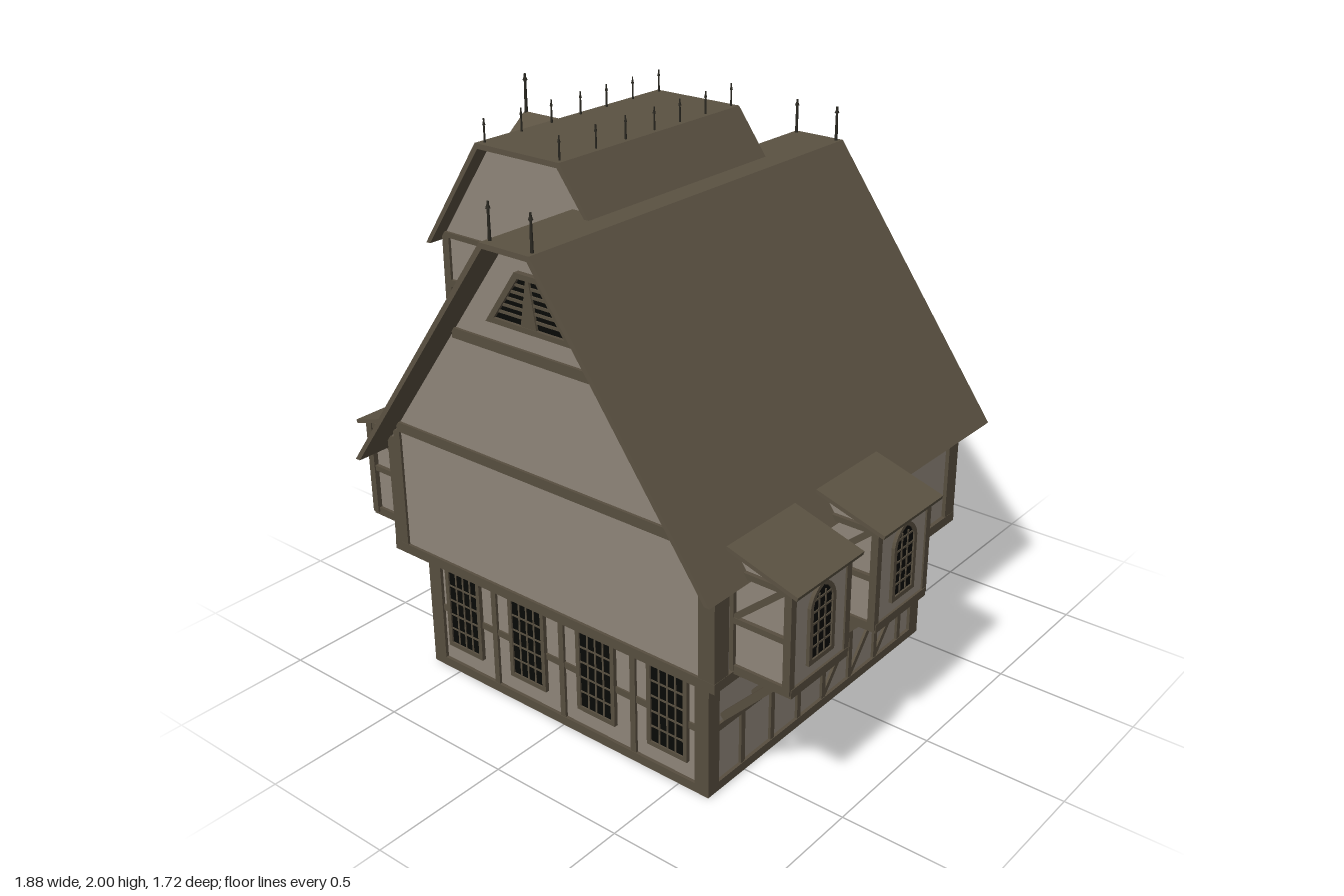
import * as THREE from 'three';

const mat = (name, color, side = THREE.FrontSide) => {
  const m = new THREE.MeshStandardMaterial({ color, side });
  m.name = name;
  return m;
};
const plaster = mat('plaster', 0x8e8579);
const wood = mat('timber', 0x574e3f);
const roofMat = mat('roof shingle', 0x5b5242);
const glass = mat('dark glass', 0x080906);
const iron = mat('iron', 0x2b2922);
const cloth = mat('cloth', 0x8d8478, THREE.DoubleSide);

const add = (parent, name, geo, m, x = 0, y = 0, z = 0) => {
  const mesh = new THREE.Mesh(geo, m);
  mesh.name = name;
  mesh.position.set(x, y, z);
  parent.add(mesh);
  return mesh;
};
// Box given by its minimum and maximum corners
const block = (p, name, m, x0, x1, y0, y1, z0, z1) =>
  add(p, name, new THREE.BoxGeometry(x1 - x0, y1 - y0, z1 - z0), m, (x0 + x1) / 2, (y0 + y1) / 2, (z0 + z1) / 2);
const shapeOf = pts => new THREE.Shape(pts.map(q => new THREE.Vector2(q[0], q[1])));
const extrude = (s, depth) => new THREE.ExtrudeGeometry(s, { depth, bevelEnabled: false, curveSegments: 5 });
const prism = (p, name, m, pts, z0, z1) => add(p, name, extrude(shapeOf(pts), z1 - z0), m, 0, 0, z0);
// Flat timber on a wall, from (x0,y0) to (x1,y1)
const beam = (p, x0, y0, x1, y1, w = 0.022, t = 0.02, z = 0, name = 'timber') => {
  const b = add(p, name, new THREE.BoxGeometry(Math.hypot(x1 - x0, y1 - y0), w, t), wood, (x0 + x1) / 2, (y0 + y1) / 2, z);
  b.rotation.z = Math.atan2(y1 - y0, x1 - x0);
  return b;
};
// Bar leaning out of a wall in the local y-z plane
const strut = (p, name, m, x, y0, z0, y1, z1, w, h) => {
  const b = add(p, name, new THREE.BoxGeometry(w, h, Math.hypot(y1 - y0, z1 - z0)), m, x, (y0 + y1) / 2, (z0 + z1) / 2);
  b.rotation.x = -Math.atan2(y1 - y0, z1 - z0);
  return b;
};
// Wall frame: local x runs right, y up, z outward
const wall = (p, name, x, z, turn) => {
  const g = new THREE.Group();
  g.name = name;
  g.position.set(x, 0, z);
  g.rotation.y = turn * Math.PI / 2;
  p.add(g);
  return g;
};

function arch(w, h, pointed) {
  const s = new THREE.Shape(), r = w / 2;
  s.moveTo(-r, 0);
  s.lineTo(r, 0);
  if (pointed) {
    s.lineTo(r, h - w * 0.55);
    s.quadraticCurveTo(r * 0.85, h - w * 0.17, 0, h);
    s.quadraticCurveTo(-r * 0.85, h - w * 0.17, -r, h - w * 0.55);
  } else {
    s.lineTo(r, h);
    s.lineTo(-r, h);
  }
  s.closePath();
  return s;
}

function windowAt(p, x, y, w, h, pointed, cols = 3, rows = 5, z = 0) {
  const g = new THREE.Group();
  g.name = 'window';
  g.position.set(x, y, z);
  p.add(g);
  const f = 0.016, iw = w - 2 * f, ih = h - 2 * f;
  const frame = arch(w, h, pointed), inner = arch(iw, ih, pointed);
  frame.holes.push(new THREE.Path(inner.getPoints(5).map(q => new THREE.Vector2(q.x, q.y + f)).reverse()));
  add(g, 'windowFrame', extrude(frame, 0.015), wood);
  add(g, 'windowPane', extrude(inner, 0.005), glass, 0, f, 0.004);
  const top = pointed ? h - w * 0.3 : h - f;
  for (let i = 1; i < cols; i++) {
    const bx = -iw / 2 + iw * i / cols;
    beam(g, bx, f, bx, top, 0.006, 0.004, 0.01, 'glazingBar');
  }
  for (let j = 1; j < rows; j++) {
    const by = f + ih * j / rows, half = by > h - w * 0.4 && pointed ? iw * 0.3 : iw / 2;
    beam(g, -half, by, half, by, 0.006, 0.004, 0.01, 'glazingBar');
  }
}

// Jettied bay with timber frame, window and lean-to roof
function oriel(p, x, w, y0, y1, d, inY, rw, rd, rIn) {
  const g = new THREE.Group();
  g.name = 'oriel';
  g.position.x = x;
  p.add(g);
  const h = w / 2, t = 0.025, mid = (y0 + y1) / 2;
  const body = extrude(shapeOf([[-0.05, y0], [d, y0], [d, y1], [0, inY], [-0.05, inY]]), w - 0.012);
  body.rotateY(-Math.PI / 2);
  add(g, 'orielBody', body, plaster, h - 0.006);
  block(g, 'orielFloor', wood, -h - 0.005, h + 0.005, y0 - 0.012, y0 + 0.018, -0.03, d + 0.008);
  strut(g, 'orielRoof', roofMat, 0, inY, rIn, y1 - 0.005, rd, rw, 0.014);
  for (const s of [-1, 1]) {
    block(g, 'orielPost', wood, s * h - t / 2, s * h + t / 2, y0, y1, d - t + 0.005, d + 0.006);
    block(g, 'orielPost', wood, s * h - 0.008, s * h + 0.008, y0, y1, 0, 0.02);
    block(g, 'orielRail', wood, s * h - 0.008, s * h + 0.008, mid - 0.01, mid + 0.01, 0, d);
    block(g, 'orielRail', wood, s * h - 0.008, s * h + 0.008, y1 - 0.02, y1, 0, d);
    strut(g, 'orielBrace', wood, s * (h - 0.002), mid, 0.01, y1 - 0.01, d - 0.02, 0.014, 0.02);
  }
  beam(g, -h, y1 - 0.012, h, y1 - 0.012, 0.024, 0.012, d);
  windowAt(g, 0, y0 + 0.06, w * 0.46, y1 - y0 - 0.085, true, 3, 6, d - 0.003);
  return g;
}

function finial(p, x, y, z, h) {
  const r = h * 0.03;
  add(p, 'finial', new THREE.CylinderGeometry(r, r * 1.5, h, 6), iron, x, y + h / 2, z);
  add(p, 'finialTip', new THREE.ConeGeometry(r * 2.2, 0.022, 6), iron, x, y + h - 0.011, z);
}

// Louvred trapezoid opening in a gable
function gableVent(p) {
  const trap = (b, t, y0, y1) => shapeOf([[-b, y0], [b, y0], [t, y1], [-t, y1]]);
  const outer = trap(0.18, 0.05, 1.445, 1.63), hole = trap(0.145, 0.038, 1.463, 1.612);
  outer.holes.push(hole);
  add(p, 'ventFrame', extrude(outer, 0.02), wood);
  add(p, 'ventDark', extrude(hole.clone(), 0.005), glass, 0, 0, 0.004);
  for (let i = 1; i < 6; i++) {
    const y = 1.463 + i * 0.025, half = 0.145 - (y - 1.463) * 0.72;
    beam(p, -half, y, half, y, 0.009, 0.006, 0.011, 'ventSlat');
  }
  prism(p, 'ventWedge', wood, [[-0.032, 1.463], [0.032, 1.463], [0.006, 1.612], [-0.006, 1.612]], 0.008, 0.018);
}

export function createModel() {
  const house = new THREE.Group();
  house.name = 'timberHouse';

  // Ground floor and jettied upper storey with gables
  block(house, 'groundFloor', plaster, -0.62, 0.62, 0, 0.004, -0.545, 0.69);
  block(house, 'groundStorey', plaster, -0.61, 0.61, 0.004, 0.48, -0.535, 0.68);
  block(house, 'groundSill', wood, -0.622, 0.622, 0.003, 0.035, -0.547, 0.692);
  block(house, 'jettyBeam', wood, -0.7, 0.7, 0.465, 0.5, -0.62, 0.765);
  prism(house, 'upperStorey', plaster, [[-0.685, 0.48], [0.685, 0.48], [0.685, 0.905], [0.094, 1.722], [-0.094, 1.722], [-0.685, 0.905]], -0.61, 0.755);
  for (const s of [-1, 1]) {
    for (const [z0, z1] of [[0.637, 0.692], [-0.547, -0.492]])
      block(house, 'groundPost', wood, s * 0.594 - 0.028, s * 0.594 + 0.028, 0.004, 0.48, z0, z1);
    for (const [z0, z1] of [[0.695, 0.764], [-0.619, -0.56]])
      block(house, 'upperPost', wood, s * 0.668 - 0.031, s * 0.668 + 0.031, 0.48, 0.9, z0, z1);
  }

  // Main roof with flat ridge
  prism(house, 'mainRoof', roofMat, [[-0.755, 0.83], [-0.735, 0.83], [-0.09, 1.717], [0.09, 1.717], [0.735, 0.83], [0.755, 0.83], [0.1, 1.735], [-0.1, 1.735]], -0.72, 0.86);
  for (const x of [-0.085, 0.085]) for (const z of [0.83, -0.7]) finial(house, x, 1.73, z, 0.125);

  // Front and back gables
  for (const [name, z, turn] of [['frontGable', 0.755, 0], ['backGable', -0.61, 2]]) {
    const g = wall(house, name, 0, z, turn);
    beam(g, -0.648, 0.948, 0.648, 0.948, 0.035);
    beam(g, -0.345, 1.362, 0.345, 1.362, 0.035);
    for (const s of [-1, 1]) beam(g, s * 0.653, 0.48, s * 0.653, 0.93, 0.03, 0.018);
    gableVent(g);
  }

  // Ground floor front: four tall windows
  const front = wall(house, 'groundFront', 0, 0.68, 0);
  beam(front, -0.6, 0.24, 0.6, 0.24, 0.024, 0.012);
  for (const x of [-0.31, 0, 0.31]) beam(front, x, 0.03, x, 0.47, 0.022);
  for (const x of [-0.457, -0.155, 0.153, 0.455]) windowAt(front, x, 0.1, 0.165, 0.32, false, 4, 5);

  // Ground floor right: panelling and braces
  const right = wall(house, 'groundRight', 0.61, 0, 1);
  beam(right, -0.66, 0.238, 0.52, 0.238, 0.025);
  for (const x of [-0.51, -0.35, -0.2, -0.055, 0.105, 0.265, 0.42]) beam(right, x, 0.03, x, 0.23, 0.02);
  for (const x of [-0.05, 0.11, 0.27]) beam(right, x, 0.045, x + 0.15, 0.225, 0.02);
  beam(right, -0.075, 0.24, -0.075, 0.47, 0.045);

  // Ground floor left: two windows and braces
  const left = wall(house, 'groundLeft', -0.61, 0, -1);
  beam(left, -0.52, 0.238, 0.66, 0.238, 0.025, 0.012);
  for (const x of [-0.4, -0.135, 0.13, 0.3, 0.47]) beam(left, x, 0.03, x, 0.23, 0.02);
  for (const x of [0.14, 0.31, 0.48]) beam(left, x, 0.045, x + 0.15, 0.225, 0.02);
  for (const x of [-0.27, -0.01]) windowAt(left, x, 0.09, 0.17, 0.33, true);

  // Ground floor back: two arched windows and braces
  const back = wall(house, 'groundBack', 0, -0.535, 2);
  beam(back, -0.6, 0.238, 0.6, 0.238, 0.025, 0.012);
  for (const x of [-0.45, -0.3, -0.15, 0.01, 0.3]) beam(back, x, 0.03, x, 0.23, 0.02);
  beam(back, -0.3, 0.24, -0.3, 0.47, 0.03);
  beam(back, 0.31, 0.24, 0.31, 0.47, 0.03);
  beam(back, -0.56, 0.44, -0.34, 0.25);
  beam(back, -0.26, 0.25, -0.03, 0.44);
  for (const x of [0.14, 0.46]) windowAt(back, x, 0.09, 0.18, 0.34, true);

  // Side oriels on long braces
  for (const [name, x, turn, spots] of [['rightOriels', 0.68, 1, [-0.525, -0.073]], ['leftOriels', -0.68, -1, [0.525, -0.385]]]) {
    const g = wall(house, name, x, 0, turn);
    for (const s of spots) {
      const o = oriel(g, s, 0.285, 0.505, 0.858, 0.225, 0.93, 0.34, 0.26, 0.005);
      for (const bx of [-0.08, 0.08]) strut(o, 'orielBracket', wood, bx, 0.265, -0.065, 0.49, 0.155, 0.024, 0.026);
      for (const bx of [-0.08, 0, 0.08]) strut(o, 'orielJoist', wood, bx, 0.45, -0.06, 0.488, 0.21, 0.024, 0.03);
    }
  }
  // Back oriel
  const backBay = oriel(wall(house, 'backOriel', 0, -0.61, 2), 0, 0.43, 0.655, 1.008, 0.162, 1.12, 0.53, 0.19, 0);
  for (const x of [-0.16, -0.055, 0.055, 0.16]) {
    strut(backBay, 'orielBracket', wood, x, 0.55, 0, 0.64, 0.15, 0.024, 0.024);
    block(backBay, 'orielJoist', wood, x - 0.012, x + 0.012, 0.62, 0.645, 0, 0.155);
  }

  // Hanging cloth signs at the back
  const banner = new THREE.Shape();
  banner.moveTo(-0.08, 0.36);
  banner.quadraticCurveTo(0, 0.33, 0.08, 0.365);
  banner.lineTo(0.088, 0.335);
  banner.quadraticCurveTo(0.06, 0.23, 0.085, 0.125);
  banner.quadraticCurveTo(0, 0.075, -0.085, 0.125);
  banner.quadraticCurveTo(-0.06, 0.23, -0.088, 0.335);
  banner.closePath();
  for (const x of [-0.315, 0.295]) {
    block(house, 'signPole', wood, x - 0.01, x + 0.01, 0.4, 0.422, -0.86, -0.53);
    const bg = extrude(banner, 0.008);
    bg.rotateY(Math.PI / 2);
    add(house, 'signCloth', bg, cloth, x - 0.004, 0, -0.75);
    for (const z of [-0.7, -0.81]) block(house, 'signCord', wood, x - 0.003, x + 0.003, 0.345, 0.402, z - 0.003, z + 0.003);
    strut(house, 'signStay', wood, x, 0.475, -0.56, 0.42, -0.67, 0.006, 0.006);
  }

  // Large roof dormer on the left slope
  const dormer = new THREE.Group();
  dormer.name = 'largeDormer';
  house.add(dormer);
  prism(dormer, 'dormerBody', plaster, [[-0.68, 1.18], [-0.45, 1.18], [0, 1.6], [0, 1.728], [-0.108, 1.878], [-0.453, 1.878], [-0.684, 1.54]], -0.325, 0.46);
  prism(dormer, 'dormerRoof', roofMat, [[-0.718, 1.51], [-0.7, 1.51], [-0.45, 1.875], [-0.11, 1.875], [0.004, 1.725], [0.023, 1.725], [-0.1, 1.893], [-0.46, 1.893]], -0.378, 0.515);
  block(dormer, 'dormerFloor', wood, -0.69, -0.48, 1.178, 1.215, -0.333, 0.468);
  for (const [z, turn] of [[0.46, 0], [-0.325, 2]]) {
    const g = wall(dormer, 'dormerEnd', 0, z, turn), s = turn ? -1 : 1;
    beam(g, -0.685 * s, 1.365, -0.36 * s, 1.365, 0.025);
    beam(g, -0.685 * s, 1.535, -0.22 * s, 1.535, 0.018);
    beam(g, -0.674 * s, 1.19, -0.674 * s, 1.535, 0.03);
  }
  const side = wall(dormer, 'dormerSide', -0.68, 0, -1);
  beam(side, -0.32, 1.365, 0.455, 1.365, 0.025, 0.012);
  beam(side, -0.32, 1.515, 0.455, 1.515, 0.03);
  for (const x of [-0.312, -0.2, -0.125, 0.067, 0.255, 0.33, 0.447]) beam(side, x, 1.2, x, 1.53, 0.024);
  for (const x of [-0.03, 0.163]) windowAt(side, x, 1.225, 0.135, 0.27, true);
  for (let i = 0; i < 7; i++) {
    const z = -0.3 + i * 0.123;
    block(dormer, 'dormerJoist', wood, -0.675, -0.5, 1.162, 1.18, z - 0.013, z + 0.013);
    block(dormer, 'dormerBracket', wood, -0.588, -0.556, 1.06, 1.17, z - 0.013, z + 0.013);
  }
  for (const x of [-0.44, -0.12])
    for (const z of [-0.36, -0.22, -0.085, 0.045, 0.185, 0.325, 0.49]) finial(dormer, x, 1.888, z, 0.082);

  // Little dormer on the large dormer's roof
  const lucarne = wall(dormer, 'smallDormer', -0.66, 0.067, -1);
  prism(lucarne, 'smallDormerBody', plaster, [[-0.085, 1.59], [0.085, 1.59], [0.085, 1.785], [0, 1.85], [-0.085, 1.785]], -0.18, 0);
  prism(lucarne, 'smallDormerRoof', roofMat, [[-0.137, 1.762], [-0.12, 1.762], [0, 1.855], [0.12, 1.762], [0.137, 1.762], [0, 1.87]], -0.19, 0.02);
  for (const s of [-1, 1]) beam(lucarne, s * 0.077, 1.59, s * 0.077, 1.785, 0.018, 0.016);
  beam(lucarne, -0.08, 1.602, 0.08, 1.602, 0.02, 0.016);
  windowAt(lucarne, 0, 1.615, 0.1, 0.17, true, 3, 4, -0.002);
  finial(lucarne, 0, 1.865, 0.012, 0.135);

  return house;
}
